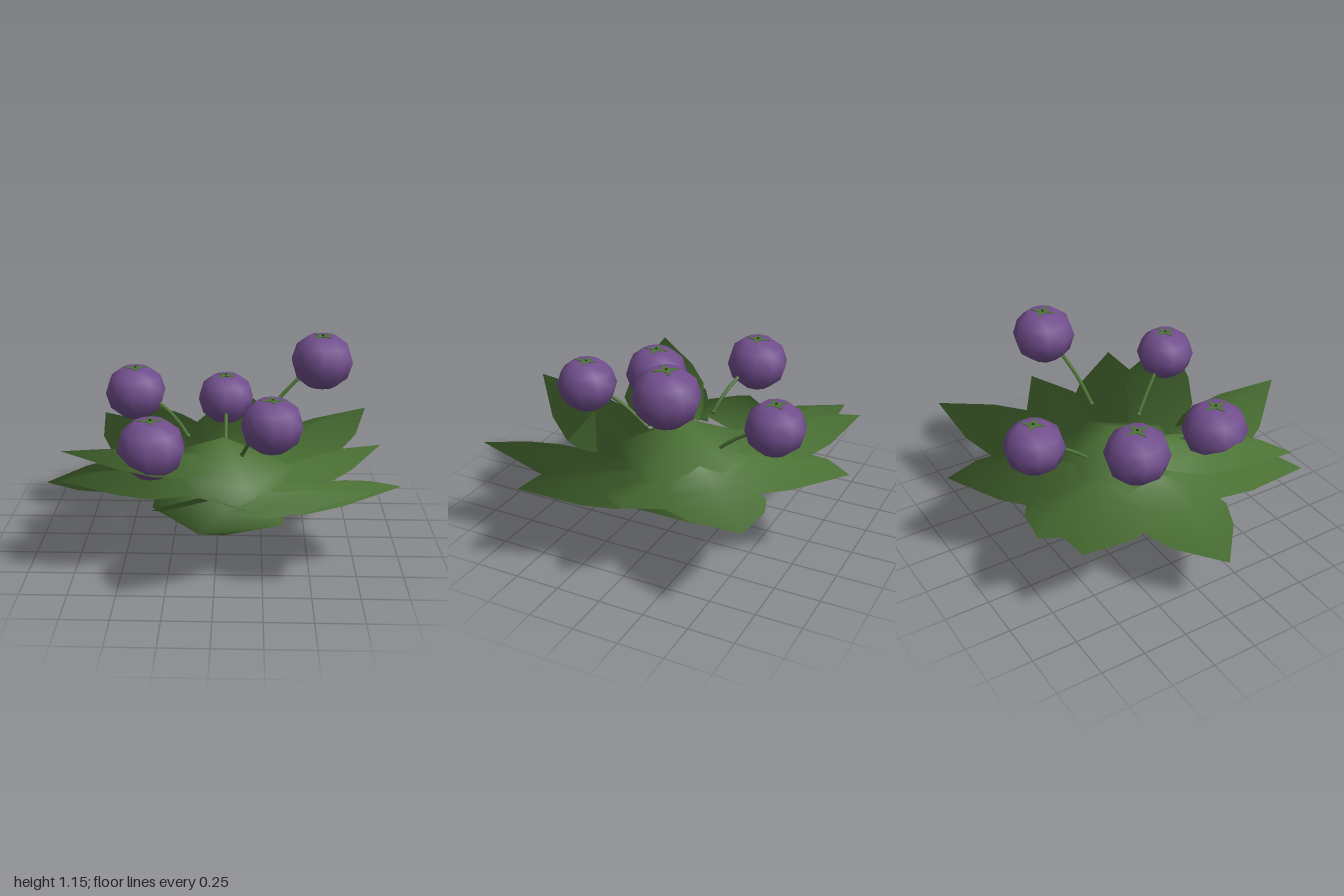
import * as THREE from 'three';

const leafGreen = new THREE.MeshStandardMaterial({ color: 0x4d7436 });
leafGreen.name = 'leaf green';
const berryPurple = new THREE.MeshStandardMaterial({ color: 0x714e8d });
berryPurple.name = 'berry purple';
const nubDark = new THREE.MeshStandardMaterial({ color: 0x26351b });
nubDark.name = 'dark nub';

function mesh(name, geometry, material) {
  const m = new THREE.Mesh(geometry, material);
  m.name = name;
  return m;
}

// Indexed surface whose normals point away from the plant's centre, for soft rounded foliage
function radialSurface(points, faces) {
  const g = new THREE.BufferGeometry();
  g.setAttribute('position', new THREE.Float32BufferAttribute(points, 3));
  const normals = [], n = new THREE.Vector3();
  for (let i = 0; i < points.length; i += 3) {
    n.set(points[i] - 0.03, points[i + 1] - 0.18, points[i + 2]).normalize();
    normals.push(n.x, n.y, n.z);
  }
  g.setAttribute('normal', new THREE.Float32BufferAttribute(normals, 3));
  g.setIndex(faces);
  return g;
}

// Squat faceted bulb: two poles and two staggered rings of five
function bulbGeometry() {
  const p = [0.035, 0, 0, 0.03, 0.6, 0];
  const f = [];
  for (let i = 0; i < 5; i++) {
    const a = (i / 5) * Math.PI * 2, b = a + Math.PI / 5;
    p.push(0.035 + 0.41 * Math.cos(b), 0.17, 0.38 * Math.sin(b));
    p.push(0.03 + 0.4 * Math.cos(a), 0.43, 0.37 * Math.sin(a));
  }
  for (let i = 0; i < 5; i++) {
    const lo = 2 + i * 2, up = lo + 1;
    const lo2 = 2 + ((i + 1) % 5) * 2, up2 = lo2 + 1;
    f.push(0, lo, lo2, 1, up2, up, up, up2, lo, lo, up2, lo2);
  }
  return radialSurface(p, f);
}

// Arched leaf: [fraction of length, half width, midrib height] at each station
const STATIONS = [[0, 0.2, 0.07], [0.2, 0.25, 0.08], [0.47, 0.27, 0.08], [0.69, 0.2, 0.06], [1, 0, 0]];
const THICKNESS = 0.006;

// Closed thin leaf: each station is left edge, upper midrib, right edge, lower midrib
function leafGeometry(base, tip, width) {
  const dir = new THREE.Vector3(tip[0] - base[0], 0, tip[2] - base[2]).normalize();
  const p = [], f = [];
  STATIONS.forEach(([t, w, ridge], i) => {
    const x = THREE.MathUtils.lerp(base[0], tip[0], t);
    const y = THREE.MathUtils.lerp(base[1], tip[1], t ** 1.4);
    const z = THREE.MathUtils.lerp(base[2], tip[2], t);
    const sx = -dir.z * w * width, sz = dir.x * w * width;
    p.push(x - sx, y, z - sz, x, y + ridge, z, x + sx, y, z + sz);
    p.push(x, y + ridge - (w > 0 ? THICKNESS : 0), z);
    if (i === 0) return;
    const b = i * 4, a = b - 4;
    // Upper side, then lower side wound the other way
    f.push(a, a + 1, b + 1, a + 1, a + 2, b + 1);
    f.push(a, b + 3, a + 3, a + 3, b + 3, a + 2);
    if (w > 0) {
      f.push(a, b + 1, b, a + 2, b + 2, b + 1);
      f.push(a, b, b + 3, a + 2, b + 3, b + 2);
    }
  });
  return radialSurface(p, f);
}

// Tip position, width factor, height of the edges at the base
const LEAVES = [
  [[0.16, 0.56, -1.0], 1, 0.39],
  [[0.9, 0.55, -0.73], 0.95, 0.38],
  [[0.92, 0.53, -0.1], 0.85, 0.33],
  [[0.96, 0.51, 0.48], 1, 0.3],
  [[0.77, 0.61, 0.82], 0.95, 0.3],
  [[-0.06, 0.65, 1.0], 1.04, 0.29],
  [[-0.78, 0.58, 0.63], 0.95, 0.41],
  [[-0.97, 0.33, 0.03], 0.95, 0.4],
  [[-0.72, 0.52, -0.68], 0.95, 0.38],
  [[-0.54, 0.56, -0.83], 1, 0.39],
];

// Berry centre, radius, stem root, stem bend, calyx turn
const BERRIES = [
  [[0.58, 1.0, -0.175], 0.176, [0.25, 0.67, -0.06], [0.37, 0.88, -0.1], 0.7],
  [[0.035, 0.67, -0.54], 0.17, [0.04, 0.46, -0.2], [0.04, 0.6, -0.34], 0.8],
  [[-0.475, 0.8, -0.215], 0.174, [-0.17, 0.58, -0.08], [-0.28, 0.76, -0.14], 0.1],
  [[-0.34, 0.67, 0.375], 0.184, [-0.15, 0.5, 0.19], [-0.22, 0.6, 0.26], 0.1],
  [[0.29, 0.83, 0.465], 0.164, [0.14, 0.57, 0.19], [0.2, 0.75, 0.32], 0.1],
];

// Flattened round berry with a shallow dimple on top, unit radius
const BERRY_PROFILE = [[0, -0.83], [0.45, -0.82], [0.84, -0.5], [1, 0], [0.84, 0.5], [0.45, 0.8], [0, 0.75]]
  .map(([x, y]) => new THREE.Vector2(x, y));

// Thin four-pointed star plate
function starGeometry(turn) {
  const shape = new THREE.Shape();
  for (let i = 0; i < 8; i++) {
    const r = i % 2 ? 0.13 : 0.42, a = (i / 8) * Math.PI * 2 + turn;
    if (i) shape.lineTo(r * Math.cos(a), r * Math.sin(a));
    else shape.moveTo(r * Math.cos(a), r * Math.sin(a));
  }
  shape.closePath();
  return new THREE.ExtrudeGeometry(shape, { depth: 0.02, bevelEnabled: false }).rotateX(-Math.PI / 2);
}

function makeBerry([centre, radius, root, bend, turn]) {
  const group = new THREE.Group();
  group.name = 'berryWithStem';

  const fruit = new THREE.Group();
  fruit.name = 'fruit';
  fruit.position.set(...centre);
  fruit.scale.setScalar(radius);
  fruit.add(mesh('berry', new THREE.LatheGeometry(BERRY_PROFILE, 10), berryPurple));
  const star = mesh('calyx', starGeometry(turn), leafGreen);
  star.position.y = 0.795;
  const nub = mesh('nub', new THREE.CylinderGeometry(0.04, 0.05, 0.1, 5), nubDark);
  nub.position.y = 0.8;
  fruit.add(star, nub);

  // Stem bends outward and ends inside the berry; its root is rounded off
  const path = new THREE.QuadraticBezierCurve3(
    new THREE.Vector3(...root), new THREE.Vector3(...bend), new THREE.Vector3(...centre));
  const rootEnd = mesh('stemRoot', new THREE.SphereGeometry(0.014, 6, 4), leafGreen);
  rootEnd.position.set(...root);
  group.add(fruit, rootEnd, mesh('stem', new THREE.TubeGeometry(path, 5, 0.011, 6), leafGreen));
  return group;
}

export function createModel() {
  const model = new THREE.Group();
  model.name = 'berryPlant';
  model.add(mesh('bulb', bulbGeometry(), leafGreen));

  for (const [tip, width, baseY] of LEAVES) {
    const len = Math.hypot(tip[0], tip[2]);
    const base = [(tip[0] / len) * 0.3, baseY, (tip[2] / len) * 0.3];
    model.add(mesh('leaf', leafGeometry(base, tip, width), leafGreen));
  }
  // Inner leaf lying over the shoulder of the bulb
  model.add(mesh('innerLeaf', leafGeometry([-0.11, 0.49, 0.16], [-0.78, 0.71, 0.55], 0.8), leafGreen));

  for (const berry of BERRIES) model.add(makeBerry(berry));
  return model;
}
